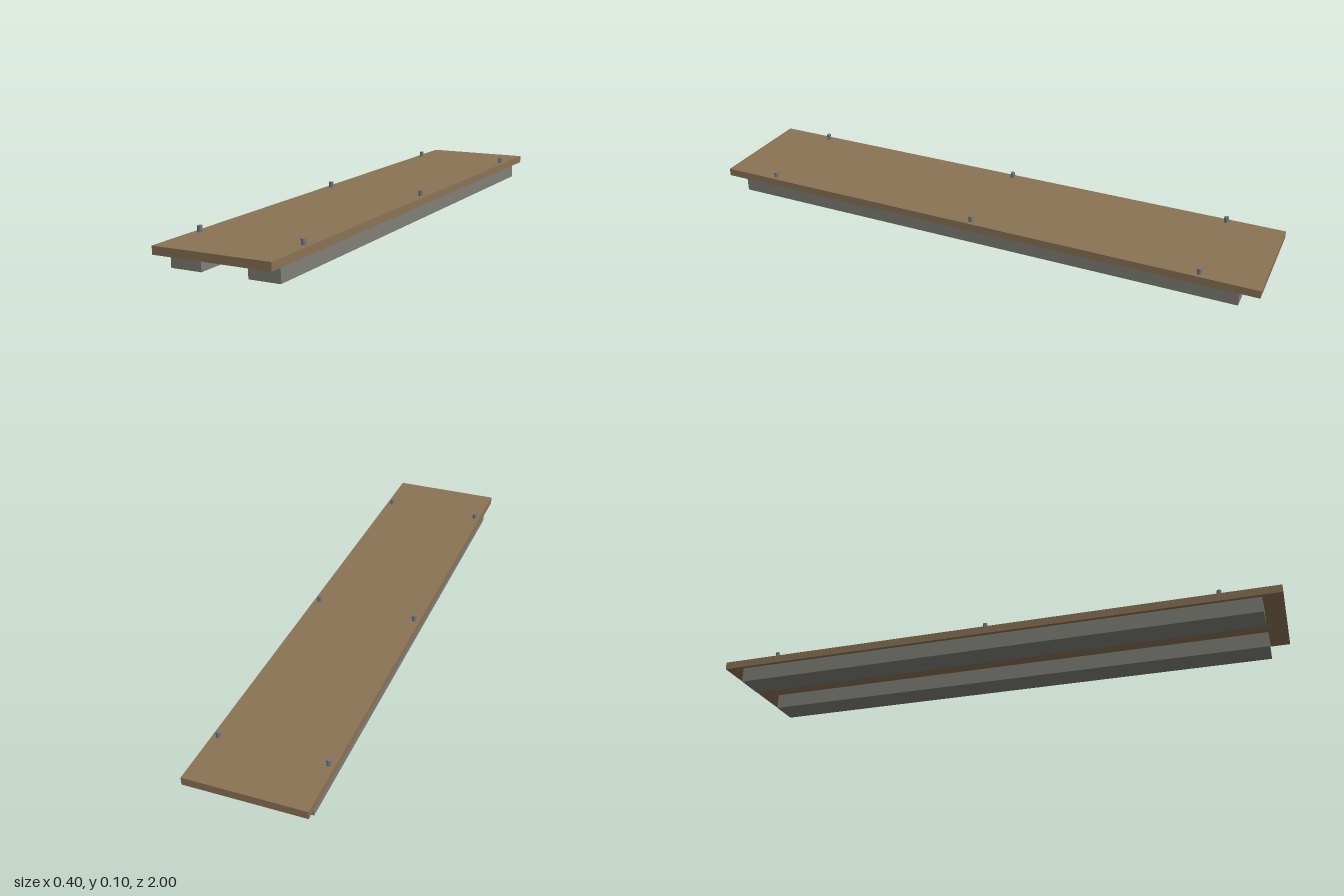
import * as THREE from 'three';

export function createModel() {
  const dock = new THREE.Group();
  dock.name = 'floatingDock';

  const wood = new THREE.MeshStandardMaterial({ color: 0x8b7355 });
  const concrete = new THREE.MeshStandardMaterial({ color: 0x808078 });
  const steel = new THREE.MeshStandardMaterial({ color: 0x707880 });

  const add = (name, geometry, material, x, y, z) => {
    const mesh = new THREE.Mesh(geometry, material);
    mesh.name = name;
    mesh.position.set(x, y, z);
    dock.add(mesh);
  };

  // Deck slab
  add('deck', new THREE.BoxGeometry(0.4, 0.0267, 2), wood, 0, 0.0667, 0);

  const floatGeometry = new THREE.BoxGeometry(0.1067, 0.0533, 1.8667);
  const postGeometry = new THREE.CylinderGeometry(0.008, 0.008, 0.02, 8);

  for (const [side, s] of [['left', 1], ['right', -1]]) {
    // Long float under each edge
    add(`${side}Float`, floatGeometry, concrete, s * 0.1333, 0.0267, 0);

    // Mooring posts along each edge
    [['Front', 0.8], ['Middle', 0], ['Back', -0.8]].forEach(([place, z]) =>
      add(`${side}${place}MooringPost`, postGeometry, steel, s * 0.18, 0.09, z));
  }
  return dock;
}
